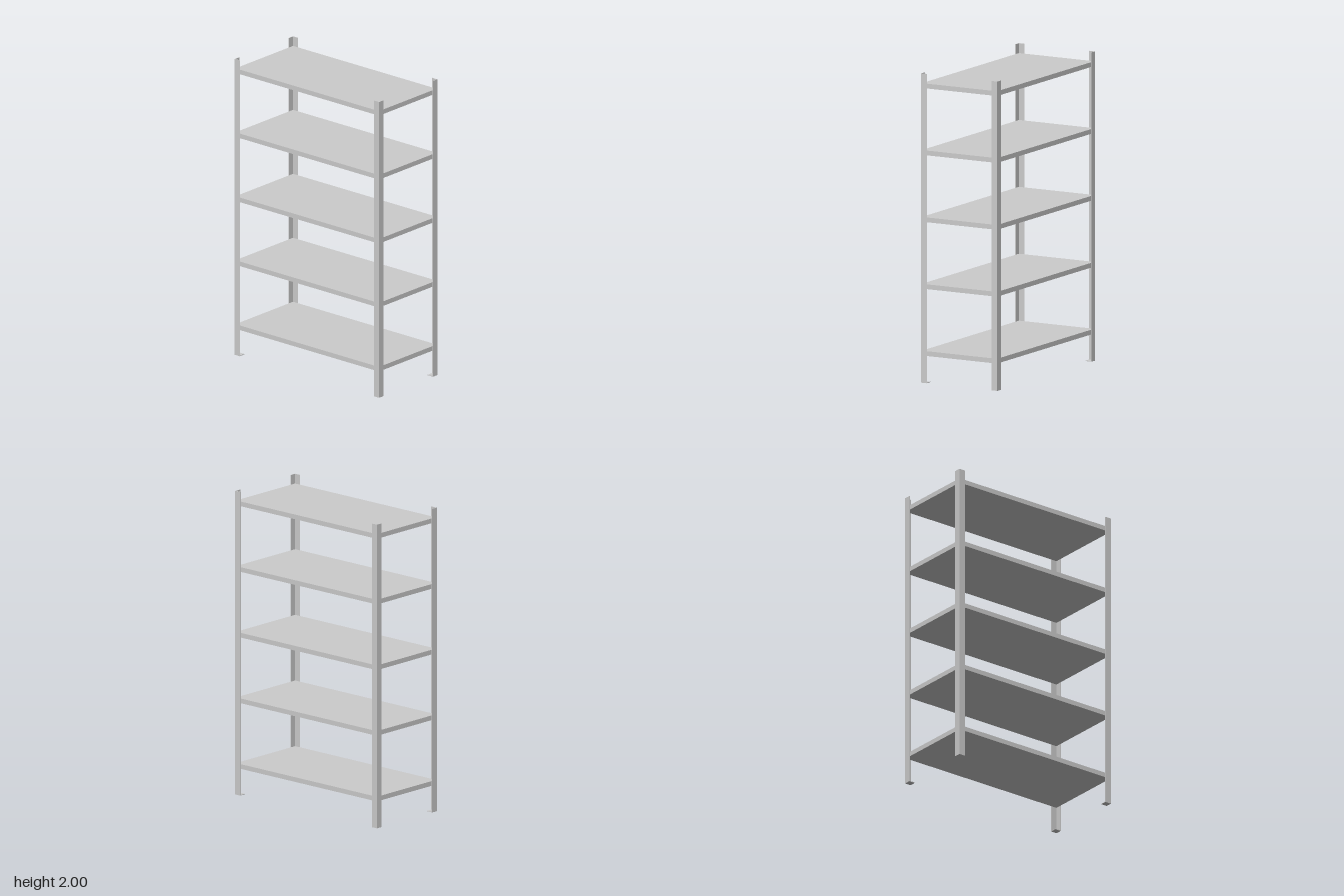
import * as THREE from 'three';

const W = 0.61, D = 0.282, H = 2;      // half width, half depth, height
const LEG = 0.044, T = 0.004;          // angle-post flange width and sheet thickness

// L-section post with its outer corner at the origin, flanges along +x and +z
function postGeometry() {
  const s = new THREE.Shape();
  [[0, 0], [LEG, 0], [LEG, T], [T, T], [T, LEG], [0, LEG]]
    .forEach(([x, y], i) => (i ? s.lineTo(x, y) : s.moveTo(x, y)));
  const g = new THREE.ExtrudeGeometry(s, { depth: H, bevelEnabled: false });
  g.rotateX(-Math.PI / 2);             // stand upright; flanges now along +x and -z
  return g;
}

export function createModel() {
  const group = new THREE.Group();
  const mat = new THREE.MeshStandardMaterial({ color: 0xcccccc, flatShading: true });
  const add = (name, geo, x, y, z) => {
    const m = new THREE.Mesh(geo, mat);
    m.name = name;
    m.position.set(x, y, z);
    group.add(m);
    return m;
  };

  // Corner posts, each turned a quarter so the flanges face inward, on foot plates
  const post = postGeometry();
  const foot = new THREE.BoxGeometry(LEG - T, T, LEG - T);
  const corners = [
    ['frontRight', -1, 1], ['frontLeft', 1, 1],
    ['backLeft', 1, -1], ['backRight', -1, -1],
  ];
  corners.forEach(([name, sx, sz], i) => {
    add(name + 'Post', post, sx * W, 0, sz * D).rotation.y = i * Math.PI / 2;
    const inset = (LEG + T) / 2;
    add(name + 'Foot', foot, sx * (W - inset), T / 2, sz * (D - inset));
  });

  // Five evenly spaced shelves fitted inside the posts
  const shelf = new THREE.BoxGeometry(2 * (W - T), 0.031, 2 * (D - T));
  for (let i = 0; i < 5; i++) add('shelf' + (i + 1), shelf, 0, 0.191 + i * 0.4325, 0);

  return group;
}
